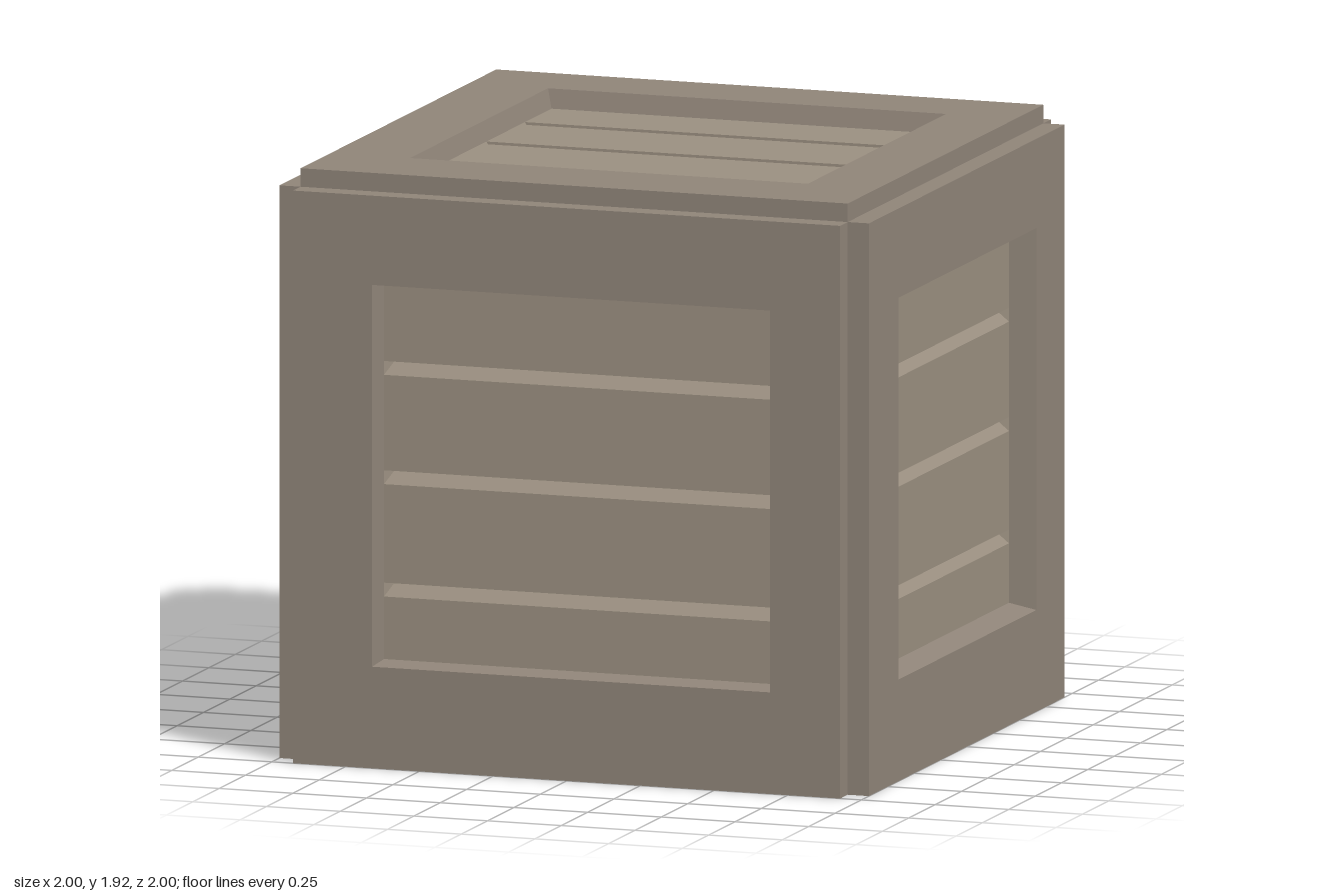
import * as THREE from 'three';

const frameMat = new THREE.MeshStandardMaterial({ color: 0x8f8478, flatShading: true });
const slatMat = new THREE.MeshStandardMaterial({ color: 0x9a8f80, flatShading: true });
const near = (a, b) => Math.abs(a - b) < 1e-4;

function trace(path, [u0, v0, u1, v1]) {
  path.moveTo(u0, v0);
  path.lineTo(u1, v0);
  path.lineTo(u1, v1);
  path.lineTo(u0, v1);
  path.closePath();
  return path;
}

// Plate with rectangular holes; each hole narrows toward the back by its
// taper { side, bottom, top }. The front of the plate lies at z = front.
function cutPlate(rect, holes, depth, front, taper) {
  const shape = trace(new THREE.Shape(), rect);
  holes.forEach(h => shape.holes.push(trace(new THREE.Path(), h)));
  const geo = new THREE.ExtrudeGeometry(shape, { depth, bevelEnabled: false });
  const p = geo.attributes.position;
  for (let i = 0; i < p.count; i++) {
    if (p.getZ(i) > 1e-4) continue;
    const u = p.getX(i), v = p.getY(i);
    for (const [u0, v0, u1, v1] of holes) {
      const onU = near(u, u0) || near(u, u1), onV = near(v, v0) || near(v, v1);
      if (!onU || !onV) continue;
      p.setXY(i, u + (near(u, u0) ? taper.side : -taper.side),
        v + (near(v, v0) ? taper.bottom : -taper.top));
    }
  }
  geo.translate(0, 0, front - depth);
  geo.computeVertexNormals();
  return geo;
}

// One crate face: a frame around a recessed board with sloped grooves
function panel({ name, rect, open, depth, draft, grooves, position, rotation }) {
  const group = new THREE.Group();
  group.name = name;
  const frame = new THREE.Mesh(cutPlate(rect, [open], depth, 0,
    { side: draft, bottom: draft, top: draft }), frameMat);
  frame.name = name + 'Frame';

  const [u0, , u1] = open;
  const slots = grooves.map(([a, b]) => [u0 + draft, a, u1 - draft, b]);
  const board = new THREE.Mesh(cutPlate(open, slots, 0.04, -depth,
    { side: 0.025, bottom: 0.044, top: 0 }), slatMat);
  board.name = name + 'Slats';

  group.add(frame, board);
  group.position.set(...position);
  group.rotation.set(...rotation);
  return group;
}

export function createModel() {
  const crate = new THREE.Group();
  crate.name = 'crate';
  const H = Math.PI / 2, w = 0.928;
  const sideRect = [-w, 0, w, 1.86], flatRect = [-w, -w, w, w];
  const sideGrooves = [[0.545, 0.59], [0.91, 0.955], [1.265, 1.31]];
  const topGrooves = [[-0.375, -0.33], [-0.01, 0.035], [0.355, 0.4]];

  // Four walls
  const walls = [
    { name: 'front', open: [-0.66, 0.33, 0.69, 1.57], depth: 0.08, draft: 0.012, position: [0, 0, 1], turn: 0 },
    { name: 'back', open: [-0.69, 0.33, 0.66, 1.57], depth: 0.08, draft: 0.02, position: [0, 0, -1], turn: 2 * H },
    { name: 'right', open: [-0.65, 0.33, 0.66, 1.57], depth: 0.085, draft: 0.022, position: [1, 0, 0], turn: H },
    { name: 'left', open: [-0.66, 0.33, 0.65, 1.57], depth: 0.085, draft: 0.022, position: [-1, 0, 0], turn: -H },
  ];
  for (const s of walls) {
    crate.add(panel({ ...s, name: s.name + 'Wall', rect: sideRect, grooves: sideGrooves, rotation: [0, s.turn, 0] }));
  }

  // Lid and plain base
  crate.add(panel({
    name: 'lid', rect: flatRect, open: [-0.66, -0.64, 0.69, 0.67], depth: 0.062, draft: 0.018,
    grooves: topGrooves, position: [0, 1.92, 0], rotation: [-H, 0, 0],
  }));
  crate.add(panel({
    name: 'base', rect: flatRect, open: [-0.66, -0.66, 0.68, 0.65], depth: 0.062, draft: 0.018,
    grooves: [], position: [0, 0, 0], rotation: [H, 0, 0],
  }));
  return crate;
}
